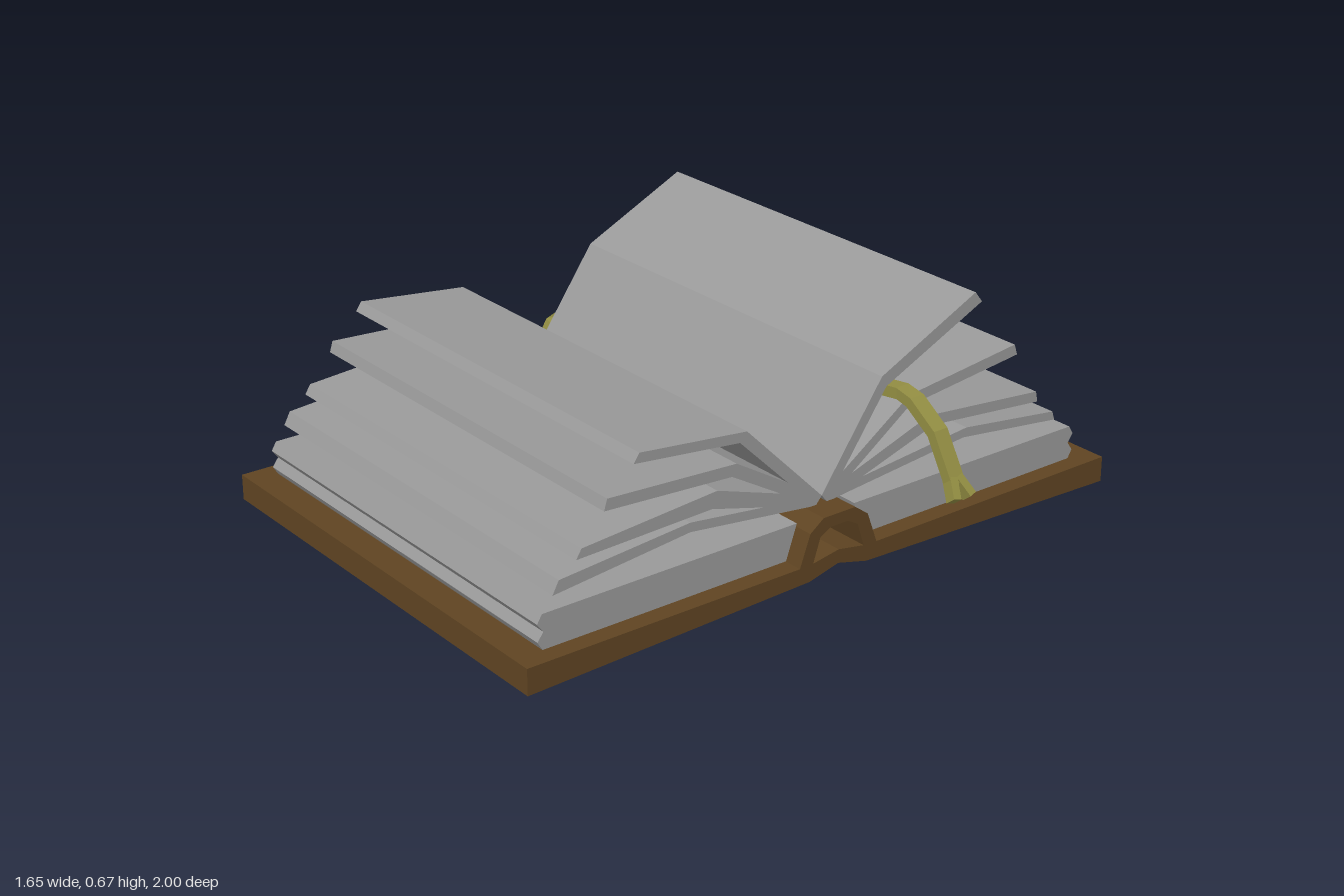
import * as THREE from 'three';

const material = (name, color) => {
  const m = new THREE.MeshStandardMaterial({ color });
  m.name = name;
  return m;
};

// Solid with a (z, y) profile, running along x from x0 to x1
function slab(name, profile, x0, x1, mat) {
  const shape = new THREE.Shape(profile.map(([z, y]) => new THREE.Vector2(z, y)));
  const geo = new THREE.ExtrudeGeometry(shape, { depth: x1 - x0, bevelEnabled: false });
  geo.rotateY(-Math.PI / 2).translate(x1, 0, 0);
  const mesh = new THREE.Mesh(geo, mat);
  mesh.name = name;
  return mesh;
}

// Closed profile from one half plus its mirror image
const mirrored = (half) => [...half, ...half.map(([z, y]) => [-z, y]).reverse()];

// Flat band swept along a path, with its width lying along z
function band(name, path, halfWidth, halfThick, mat) {
  const pts = path.map((p) => new THREE.Vector3(...p));
  const pos = [], idx = [];
  pts.forEach((p, i) => {
    const a = pts[Math.max(i - 1, 0)], b = pts[Math.min(i + 1, pts.length - 1)];
    const t = b.clone().sub(a).normalize();
    const n = new THREE.Vector3(-t.y, t.x, 0).normalize();
    const w = new THREE.Vector3().crossVectors(t, n).normalize();
    for (const [u, v] of [[-1, -1], [1, -1], [1, 1], [-1, 1]]) {
      const q = p.clone().addScaledVector(w, u * halfWidth).addScaledVector(n, v * halfThick);
      pos.push(q.x, q.y, q.z);
    }
  });
  for (let i = 0; i < pts.length - 1; i++) {
    for (let k = 0; k < 4; k++) {
      const a = i * 4 + k, b = i * 4 + (k + 1) % 4;
      idx.push(a, a + 4, b, b, a + 4, b + 4);
    }
  }
  const e = (pts.length - 1) * 4;
  idx.push(0, 1, 2, 0, 2, 3, e, e + 2, e + 1, e, e + 3, e + 2);
  // w = t x n, so the ring winds clockwise about the path seen from its end
  const indexed = new THREE.BufferGeometry();
  indexed.setAttribute('position', new THREE.Float32BufferAttribute(pos, 3));
  indexed.setIndex(idx);
  const geo = indexed.toNonIndexed();
  geo.computeVertexNormals();
  const mesh = new THREE.Mesh(geo, mat);
  mesh.name = name;
  return mesh;
}

export function createModel() {
  const book = new THREE.Group();
  book.name = 'openBook';
  const leather = material('brown leather', 0x5f4422);
  const paper = material('grey paper', 0x999999);
  const cloth = material('olive ribbon', 0x928d42);
  cloth.side = THREE.DoubleSide;

  // Cover boards, joined by a raised fold
  book.add(slab('cover', [
    [1, 0], [1, 0.076], [0.1, 0.073], [0, 0.09], [-0.1, 0.073], [-1, 0.076],
    [-1, 0], [-0.1, 0.025], [0, 0.05], [0.1, 0.025],
  ], -0.765, 0.645, leather));

  // Hollow arched spine
  const outer = [[0.135, 0.07], [0.1, 0.165], [0.055, 0.198]];
  const inner = [[0.09, 0.07], [0.065, 0.145], [0.03, 0.165]];
  book.add(slab('spine',
    [...mirrored(outer), ...mirrored(inner).reverse()], -0.765, 0.645, leather));

  // Closed page blocks with ridged outer edges
  const block = [
    [0.135, 0.075], [0.915, 0.075], [0.93, 0.1], [0.912, 0.125],
    [0.93, 0.15], [0.915, 0.175], [0.1, 0.175],
  ];
  for (const s of [1, -1]) {
    book.add(slab(s > 0 ? 'frontPageBlock' : 'backPageBlock',
      block.map(([z, y]) => [z * s, y]), -0.71, 0.59, paper));
  }

  // Loose bent pages: upper bend, upper tip, lower tip, lower bend
  const pages = [
    [[0.257, 0.476], [0.6, 0.513], [0.618, 0.487], [0.28, 0.45]],
    [[0.29, 0.395], [0.7, 0.417], [0.71, 0.385], [0.305, 0.362]],
    [[0.353, 0.337], [0.78, 0.305], [0.797, 0.278], [0.37, 0.29]],
    [[0.44, 0.273], [0.85, 0.24], [0.87, 0.203], [0.44, 0.246]],
    [[-0.203, 0.508], [-0.535, 0.668], [-0.56, 0.636], [-0.22, 0.476]],
    [[-0.305, 0.428], [-0.695, 0.476], [-0.706, 0.444], [-0.305, 0.396]],
    [[-0.38, 0.348], [-0.79, 0.31], [-0.797, 0.278], [-0.4, 0.315]],
    [[-0.524, 0.273], [-0.861, 0.23], [-0.87, 0.203], [-0.513, 0.246]],
  ];
  pages.forEach((p, i) => {
    const s = Math.sign(p[0][0]);
    book.add(slab('page' + (i + 1),
      [[0, 0.22], ...p, [0.02 * s, 0.196]], -0.738, 0.572, paper));
  });

  // Bookmark ribbon: out of the spine, between the pages, and down to a forked tip
  const ribbon = new THREE.Group();
  ribbon.name = 'ribbon';
  ribbon.add(band('ribbonBand', [
    [-0.7, 0.13, 0], [-0.765, 0.137, -0.02], [-0.805, 0.17, -0.06], [-0.79, 0.26, -0.1],
    [-0.74, 0.32, -0.145], [0.57, 0.445, -0.28], [0.62, 0.435, -0.28],
    [0.71, 0.375, -0.28], [0.785, 0.25, -0.28],
  ], 0.024, 0.016, cloth));
  for (const s of [1, -1]) {
    ribbon.add(band('ribbonFork', [
      [0.775, 0.265, -0.28 + s * 0.01], [0.812, 0.218, -0.28 + s * 0.028],
    ], 0.012, 0.018, cloth));
  }
  book.add(ribbon);
  return book;
}
